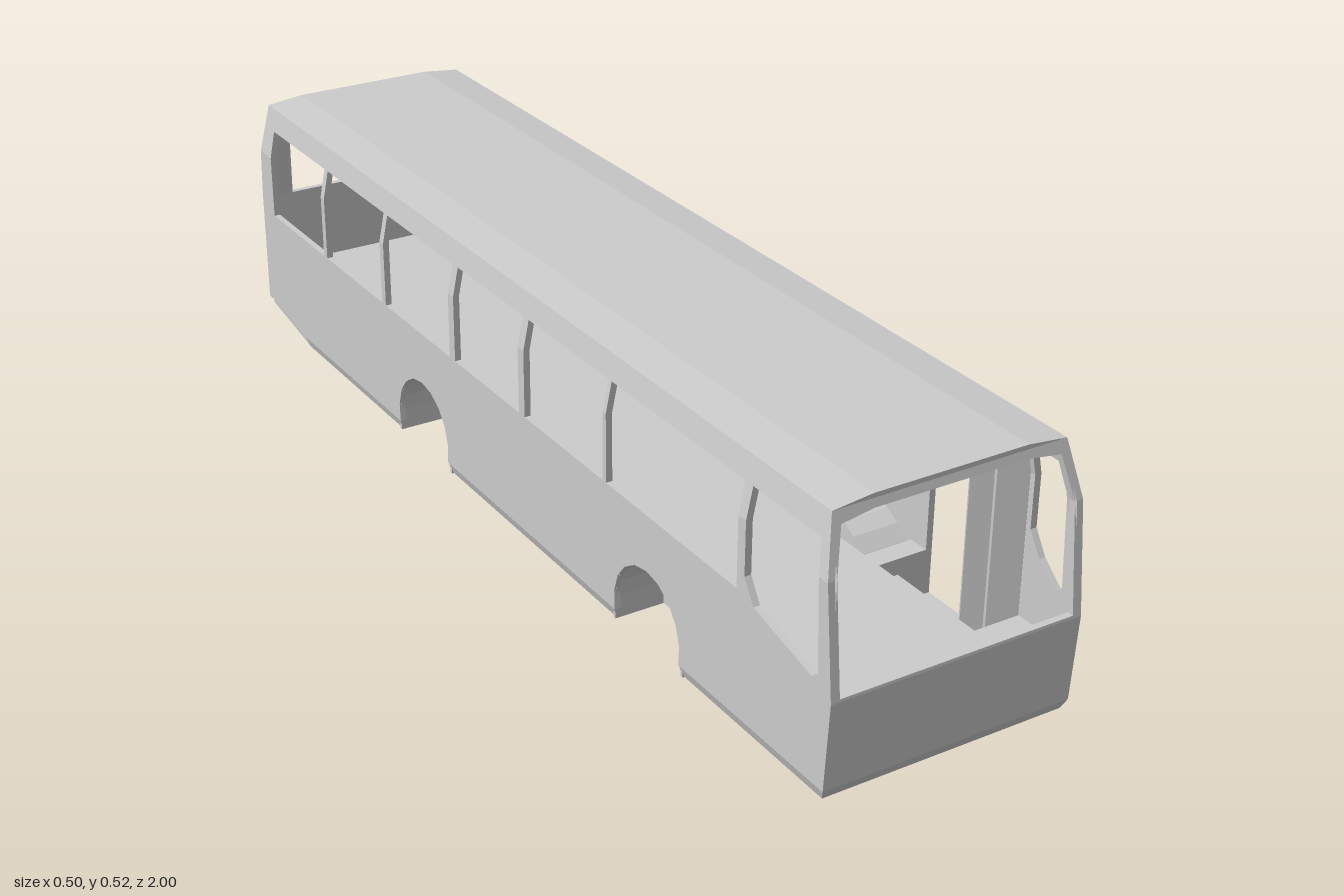
import * as THREE from 'three';

const mat = new THREE.MeshStandardMaterial({ color: 0xcccccc, flatShading: true });
const T = 0.012;            // panel thickness
const HW = 0.233;           // half width of the body
const BELT = 0.41;          // height where the sides start to lean in
const TOP = 0.508;          // roof edge
const ARCHES = [0.5, -0.29];
const DOORS = [[0.64, 0.875], [-0.69, -0.44]];

function mesh(name, geo) {
  const m = new THREE.Mesh(geo, mat);
  m.name = name;
  return m;
}

const shapeOf = (pts) => new THREE.Shape(pts.map(([a, b]) => new THREE.Vector2(a, b)));
const extrude = (shape, depth) => new THREE.ExtrudeGeometry(shape, { depth, bevelEnabled: false });

// Moves every vertex by a rule and refreshes the normals
function bend(geo, rule) {
  const p = geo.attributes.position, v = new THREE.Vector3();
  for (let i = 0; i < p.count; i++) {
    v.fromBufferAttribute(p, i);
    rule(v);
    p.setXYZ(i, v.x, v.y, v.z);
  }
  geo.computeVertexNormals();
  return geo;
}

// Panel drawn in (z, y), reaching from x = xMax inwards to xMax - depth
const sidePanel = (pts, xMax, depth) =>
  extrude(shapeOf(pts), depth).rotateY(-Math.PI / 2).translate(xMax, 0, 0);

// Slab drawn in (x, z), from y0 to y1
const slab = (pts, y0, y1) =>
  extrude(shapeOf(pts.map(([x, z]) => [x, -z])), y1 - y0).rotateX(-Math.PI / 2).translate(0, y0, 0);

// Wheel arch curve in (z, y), from rear to front
function arch(zc, r, a0) {
  const pts = [];
  for (let i = 0; i <= 10; i++) {
    const a = Math.PI + a0 - (i / 10) * (Math.PI + 2 * a0);
    pts.push([zc + r * Math.cos(a), 0.083 + r * Math.sin(a)]);
  }
  return pts;
}

// Side wall: lower part and leaning upper part, notched for the openings
function addSide(g, side, openings, quarterRear) {
  const r = quarterRear, x = side > 0 ? HW : -HW + T;
  const lower = [[-1, 0.09], [-0.82, 0.06], ...arch(-0.29, 0.1, 0.23), ...arch(0.5, 0.1, 0.23),
    [0.99, 0.06], [1, 0.217], [0.98, BELT],
    [0.958, BELT], [0.966, 0.25], [0.95, 0.24], [r + 0.025, 0.275], [r, 0.315], [r, BELT]];
  const upper = [[-0.995, BELT], [-0.985, TOP], [0.955, TOP], [0.98, BELT],
    [0.958, BELT], [0.945, 0.465], [r, 0.465], [r, BELT]];
  for (const [z0, z1, y] of openings) {
    lower.push([z1, BELT], [z1, y], [z0, y], [z0, BELT]);
    upper.push([z1, BELT], [z1, 0.465], [z0, 0.465], [z0, BELT]);
  }
  lower.push([-0.995, BELT], [-1, 0.31]);
  const name = side > 0 ? 'left' : 'right';
  g.add(mesh(name + 'SideWall', sidePanel(lower, x, T)));
  g.add(mesh(name + 'WindowPillars', bend(sidePanel(upper, x, T), (v) => {
    v.x -= side * (v.y - BELT) * 0.204;
  })));
}

// Front outline seen from the side: z at height y
function frontZ(y) {
  const prof = [[0.06, 0.99], [0.217, 1], [BELT, 0.98], [TOP, 0.955], [0.53, 0.949]];
  let i = 0;
  while (i < prof.length - 2 && y > prof[i + 1][0]) i++;
  const [[y0, z0], [y1, z1]] = [prof[i], prof[i + 1]];
  return z0 + (z1 - z0) * (y - y0) / (y1 - y0);
}

// Closes a half outline [x, y] (bottom to top) by mirroring
const mirrored = (half) => [...half, ...half.map(([x, y]) => [-x, y]).reverse()];

function addEnds(g) {
  const slope = (v) => { v.z += frontZ(v.y) - T; };
  g.add(mesh('frontPanel', bend(extrude(shapeOf(mirrored([[HW, 0.06], [HW, 0.217]])), T), slope)));
  const frame = shapeOf(mirrored([[HW, 0.217], [HW, BELT], [0.213, TOP], [0.14, 0.515]]));
  frame.holes.push(shapeOf(mirrored([[0.217, 0.222], [0.217, BELT], [0.2, 0.486], [0.14, 0.494]])));
  g.add(mesh('windscreenFrame', bend(extrude(frame, T), slope)));

  g.add(mesh('rearPanel', extrude(shapeOf(mirrored([[HW, 0.085], [HW, 0.31]])), T).translate(0, 0, -1)));
  const rear = mirrored([[0.172, 0.31], [HW, 0.31], [HW, BELT], [0.213, TOP], [0.14, 0.515]]);
  rear.push([-0.176, 0.478], [0.176, 0.478]);
  g.add(mesh('rearWindowFrame', bend(extrude(shapeOf(rear), T), (v) => {
    v.z += -1 + Math.max(0, v.y - 0.31) * 0.075;
  })));
}

// Plan outline with notches [zRear, zFront, depth] in each side
function planOutline(hw, zRear, zFront, leftNotches, rightNotches) {
  const edge = (s, notches) => [[s * hw, zRear],
    ...notches.sort((a, b) => a[0] - b[0]).flatMap(([a, b, d]) =>
      [[s * hw, a], [s * (hw - d), a], [s * (hw - d), b], [s * hw, b]]),
    [s * hw, zFront]];
  return [...edge(1, leftNotches), ...edge(-1, rightNotches).reverse()];
}

function addFloor(g) {
  const wells = () => ARCHES.map((z) => [z - 0.1, z + 0.1, 0.1]);
  g.add(mesh('underside', bend(slab(planOutline(HW, -0.82, 0.99, wells(), wells()), 0.04, 0.06), (v) => {
    if (v.y < 0.05) {
      v.x *= 0.97;
      if (v.z > 0.9) v.z = 0.98;
    }
  })));
  const steps = DOORS.map(([a, b]) => [a, b, 0.1]);
  g.add(mesh('floor', slab(planOutline(HW - 0.008, -0.82, 0.978, [...wells(), ...steps], wells()), 0.06, 0.155)));
  // Rear overhang rises towards the back
  g.add(mesh('rearOverhang', bend(slab(planOutline(HW - 0.002, -0.998, -0.82, [], []), 0.04, 0.155), (v) => {
    if (v.y < 0.05) {
      v.x *= 0.975;
      if (v.z < -0.9) v.y = 0.07;
    }
  })));
  // Entrance steps
  for (const [a, b] of DOORS) {
    [[0.125, 0.04], [0.095, 0.07]].forEach(([y, w]) => {
      const step = mesh('doorStep', new THREE.BoxGeometry(w, y - 0.06, b - a));
      step.position.set(0.125 + w / 2, (y + 0.06) / 2, (a + b) / 2);
      g.add(step);
    });
  }
  // Wheel housings on both sides
  for (const z of ARCHES) {
    const outline = (r) => [[z - r, 0.04], ...arch(z, r, 0), [z + r, 0.04]];
    for (const s of [1, -1]) {
      const shell = [...outline(0.106), ...outline(0.1).reverse()];
      g.add(mesh('wheelHousing', sidePanel(shell, s > 0 ? 0.23 : -0.13, 0.1)));
      g.add(mesh('wheelHousingBack', sidePanel(outline(0.106), s > 0 ? 0.136 : -0.13, 0.006)));
    }
  }
}

// Folded door leaves standing on a zigzag plan of [x, z] points
function foldedDoor(name, pts) {
  const g = new THREE.Group();
  g.name = name;
  for (let i = 0; i + 1 < pts.length; i++) {
    const [[x0, z0], [x1, z1]] = [pts[i], pts[i + 1]];
    const leaf = mesh('doorLeaf', new THREE.BoxGeometry(Math.hypot(x1 - x0, z1 - z0), 0.39, 0.006));
    leaf.position.set((x0 + x1) / 2, 0.267, (z0 + z1) / 2);
    leaf.rotation.y = -Math.atan2(z1 - z0, x1 - x0);
    g.add(leaf);
  }
  return g;
}

function wheel(z) {
  const profile = [[0, 0.19], [0.045, 0.184], [0.07, 0.184], [0.083, 0.19], [0.083, 0.234], [0.066, 0.242],
    [0.06, 0.242], [0.057, 0.234], [0.03, 0.238], [0.012, 0.238], [0.012, 0.247], [0, 0.247]];
  const geo = new THREE.LatheGeometry(profile.map(([r, a]) => new THREE.Vector2(r, a)), 20);
  const w = mesh('wheel', geo.rotateZ(-Math.PI / 2));
  w.position.set(0, 0.083, z);
  return w;
}

export function createModel() {
  const model = new THREE.Group();
  model.name = 'bus';
  const body = new THREE.Group();
  body.name = 'body';
  body.position.x = -0.015;
  model.add(body);

  // Openings from front to rear: [zRear, zFront, bottom]
  const SILL = 0.285;
  const middle = [[0.375, 0.63, SILL], [0.105, 0.365, SILL], [-0.15, 0.085, SILL], [-0.43, -0.17, SILL]];
  const last = [-0.945, -0.705, SILL];
  addSide(body, 1, [[...DOORS[0], 0.07], ...middle, [...DOORS[1], 0.07], last], 0.885);
  addSide(body, -1, [[0.375, 0.755, SILL], ...middle.slice(1), [-0.69, -0.445, SILL], last], 0.775);
  addEnds(body);
  addFloor(body);

  // Roof
  const roof = mirrored([[0.2, 0.496], [0.213, TOP], [0.14, 0.516]]);
  body.add(mesh('roof', extrude(shapeOf(roof), 1.94).translate(0, 0, -0.985)));

  // Doors
  model.add(foldedDoor('frontDoor', [[0.207, 0.872], [0.157, 0.853], [0.23, 0.825], [0.157, 0.792]]));
  model.add(foldedDoor('rearDoorFront', [[0.207, -0.443], [0.157, -0.472], [0.226, -0.51]]));
  model.add(foldedDoor('rearDoorBack', [[0.226, -0.625], [0.157, -0.652], [0.207, -0.687]]));

  // Wheels
  for (const z of ARCHES) model.add(wheel(z));
  return model;
}
